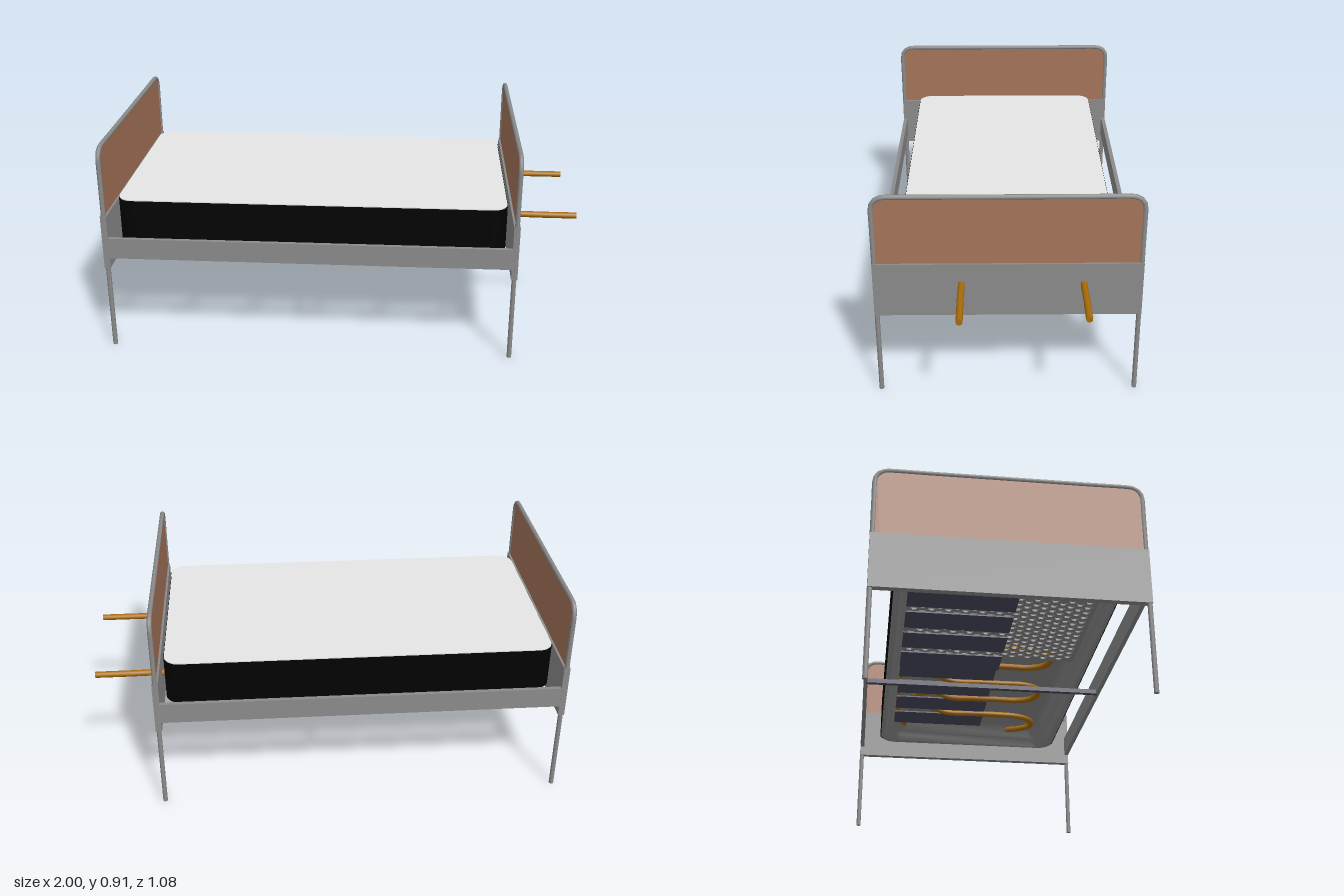
import * as THREE from 'three';

const mat = (name, color) => {
  const m = new THREE.MeshStandardMaterial({ color });
  m.name = name;
  return m;
};

// Rounded rectangle centred on the origin, usable as outline or hole
function roundedRect(w, h, r, Type = THREE.Shape) {
  const s = new Type(), x = w / 2, y = h / 2;
  s.moveTo(-x + r, -y);
  s.lineTo(x - r, -y);
  s.absarc(x - r, -y + r, r, -Math.PI / 2, 0, false);
  s.lineTo(x, y - r);
  s.absarc(x - r, y - r, r, 0, Math.PI / 2, false);
  s.lineTo(-x + r, y);
  s.absarc(-x + r, y - r, r, Math.PI / 2, Math.PI, false);
  s.lineTo(-x, -y + r);
  s.absarc(-x + r, -y + r, r, Math.PI, Math.PI * 1.5, false);
  return s;
}

// Horizontal slab from a plan shape, between heights y0 and y1
function slab(shape, y0, y1) {
  const g = new THREE.ExtrudeGeometry(shape, { depth: y1 - y0, bevelEnabled: false, curveSegments: 8 });
  return g.rotateX(-Math.PI / 2).translate(0, y0, 0);
}

// Smooth dish facing down, lofted through rounded rectangles given as [inset, height]
function dish(w, d, rings) {
  const pos = [], index = [], n = 28;
  for (const [inset, y] of rings) {
    const hx = w / 2 - inset, hz = d / 2 - inset, r = Math.min(0.065, hz * 0.9);
    for (let k = 0; k < n; k++) {
      const q = Math.floor(k / 7), a = (q + (k % 7) / 6) * Math.PI / 2;
      const sx = q === 0 || q === 3 ? 1 : -1, sz = q < 2 ? 1 : -1;
      pos.push(sx * (hx - r) + r * Math.cos(a), y, sz * (hz - r) + r * Math.sin(a));
    }
  }
  for (let j = 0; j < rings.length - 1; j++) {
    for (let k = 0; k < n; k++) {
      const a = j * n + k, b = j * n + (k + 1) % n;
      index.push(a, b, a + n, b, b + n, a + n);
    }
  }
  const g = new THREE.BufferGeometry();
  g.setAttribute('position', new THREE.Float32BufferAttribute(pos, 3));
  g.setIndex(index);
  g.computeVertexNormals();
  return g;
}

export function createModel() {
  const steel = mat('steel grey', 0x8b8b8b);
  const wood = mat('brown wood', 0xa57459);
  const black = mat('black fabric', 0x020202);
  const sheet = mat('light grey sheet', 0xe5e5e5);
  const copper = mat('copper', 0xa86c0a);
  const slate = mat('dark slate', 0x4a4a5e);

  const root = new THREE.Group();
  root.name = 'bed';
  const add = (name, geometry, material, x = 0, y = 0, z = 0, parent = root) => {
    const m = new THREE.Mesh(geometry, material);
    m.name = name;
    m.position.set(x, y, z);
    parent.add(m);
    return m;
  };
  const box = (name, w, h, d, material, x, y, z, parent) =>
    add(name, new THREE.BoxGeometry(w, h, d), material, x, y, z, parent);

  // End frames: bent tube, wooden panel and steel plate
  const V = (x, y, z) => new THREE.Vector3(x, y, z);
  function endFrame(name, x) {
    const g = new THREE.Group();
    g.name = name;
    g.position.x = x;
    root.add(g);
    const pts = [];
    const R = 0.05, Z = 0.528, top = 0.896;
    for (const s of [1, -1]) {
      const half = [V(0, 0, s * Z), V(0, 0.2, s * Z), V(0, 0.5, s * Z), V(0, 0.75, s * Z)];
      for (let i = 0; i <= 6; i++) {
        const a = i / 6 * Math.PI / 2;
        half.push(V(0, top - R + R * Math.sin(a), s * (Z - R + R * Math.cos(a))));
      }
      half.push(V(0, top, s * 0.3));
      pts.push(...(s > 0 ? half : half.reverse()));
    }
    add('tubeFrame', new THREE.TubeGeometry(new THREE.CatmullRomCurve3(pts, false, 'centripetal'), 120, 0.01, 10), steel, 0, 0, 0, g);
    for (const s of [1, -1]) {
      const foot = add('legEnd', new THREE.CircleGeometry(0.01, 10), steel, 0, 0.0005, s * Z, g);
      foot.rotation.x = Math.PI / 2;
    }
    const panel = new THREE.ExtrudeGeometry(roundedRect(1.04, 0.4, 0.05), { depth: 0.008, bevelEnabled: false, curveSegments: 8 });
    panel.rotateY(Math.PI / 2).translate(-0.004, 0.69, 0);
    add('woodPanel', panel, wood, 0, 0, 0, g);
    box('steelPlate', 0.026, 0.235, 1.074, steel, 0, 0.4875, 0, g);
  }
  endFrame('headEnd', -0.985);
  endFrame('footEnd', 0.715);

  // Side rails and cross bar
  for (const s of [1, -1]) box(s > 0 ? 'frontRail' : 'backRail', 1.7, 0.09, 0.018, steel, -0.135, 0.46, s * 0.527);
  box('crossBar', 0.02, 0.02, 1.05, slate, -0.065, 0.423, 0);

  // Mattress: black wall, pale top sheet and a hollow steel tray beneath
  const mattress = new THREE.Group();
  mattress.name = 'mattress';
  mattress.position.x = -0.135;
  root.add(mattress);
  const W = 1.64, D = 0.88;
  const wall = roundedRect(W, D, 0.065);
  wall.holes.push(roundedRect(W - 0.03, D - 0.03, 0.055, THREE.Path));
  add('mattressWall', slab(wall, 0.447, 0.636), black, 0, 0, 0, mattress);
  add('topSheet', slab(roundedRect(W - 0.004, D - 0.004, 0.063), 0.634, 0.64), sheet, 0, 0, 0, mattress);
  add('tray', dish(W, D, [[0.002, 0.449], [0.01, 0.437], [0.028, 0.437], [0.036, 0.47], [0.055, 0.48],
    [0.07, 0.52], [0.1, 0.538], [0.2, 0.548], [0.439, 0.553]]), steel, 0, 0, 0, mattress);

  // Slats across one half of the underside; the head group hangs below the mesh
  for (let i = 0; i < 8; i++) box('slat', 0.135, 0.006, 0.44, slate, 0.51 - i * 0.18, i < 4 ? 0.508 : 0.474, -0.16);

  // Honeycomb mesh
  const comb = roundedRect(0.6, 0.76, 0.02);
  const pitch = 0.04, rowStep = pitch * 0.866;
  for (let r = -10; r <= 10; r++) {
    for (let c = -7; c <= 6; c++) {
      const cx = (c + (r & 1 ? 0.75 : 0.25)) * pitch, cy = r * rowStep;
      const hole = new THREE.Path();
      for (let k = 0; k < 6; k++) {
        const a = (k + 0.5) * Math.PI / 3;
        hole[k ? 'lineTo' : 'moveTo'](cx + 0.016 * Math.cos(a), cy + 0.016 * Math.sin(a));
      }
      hole.closePath();
      comb.holes.push(hole);
    }
  }
  add('honeycombMesh', slab(comb, 0.479, 0.487), steel, -0.55);

  // Winding copper pipe with its two outlets through the foot end
  const low = 0.503, high = 0.528, R = 0.09, legs = 5;
  const path = [V(1.0, 0.515, 0.187), V(0.85, 0.515, 0.187), V(0.7, 0.515, 0.187), V(0.63, 0.51, 0.2),
    V(0.585, low, 0.26), V(0.54, low, 0.31), V(0.47, low, 0.295), V(0.43, low, 0.23)];
  for (let i = 0; i < legs; i++) {
    const x = 0.42 - i * 0.18, s = i % 2 ? 1 : -1;
    path.push(V(x, low, -s * 0.12), V(x, low, 0), V(x, low, s * 0.12));
    if (i < legs - 1) {
      for (let k = 0; k <= 4; k++) {
        const a = k / 4 * Math.PI;
        path.push(V(x - R + R * Math.cos(a), s > 0 ? low : high, s * (0.2 + R * Math.sin(a))));
      }
    }
  }
  path.push(V(-0.3, high, -0.3), V(-0.26, high, -0.36), V(-0.19, high, -0.37), V(0.1, high, -0.37), V(0.45, high, -0.365),
    V(0.6, 0.52, -0.325), V(0.7, 0.515, -0.303), V(0.85, 0.515, -0.303), V(0.985, 0.515, -0.303));
  const curve = new THREE.CatmullRomCurve3(path, false, 'centripetal');
  add('copperPipe', new THREE.TubeGeometry(curve, 400, 0.0135, 10), copper);
  for (const [x, z] of [[1.0, 0.187], [0.985, -0.303]]) {
    add('pipeEnd', new THREE.CircleGeometry(0.0135, 10).rotateY(Math.PI / 2), copper, x, 0.515, z);
  }
  return root;
}
